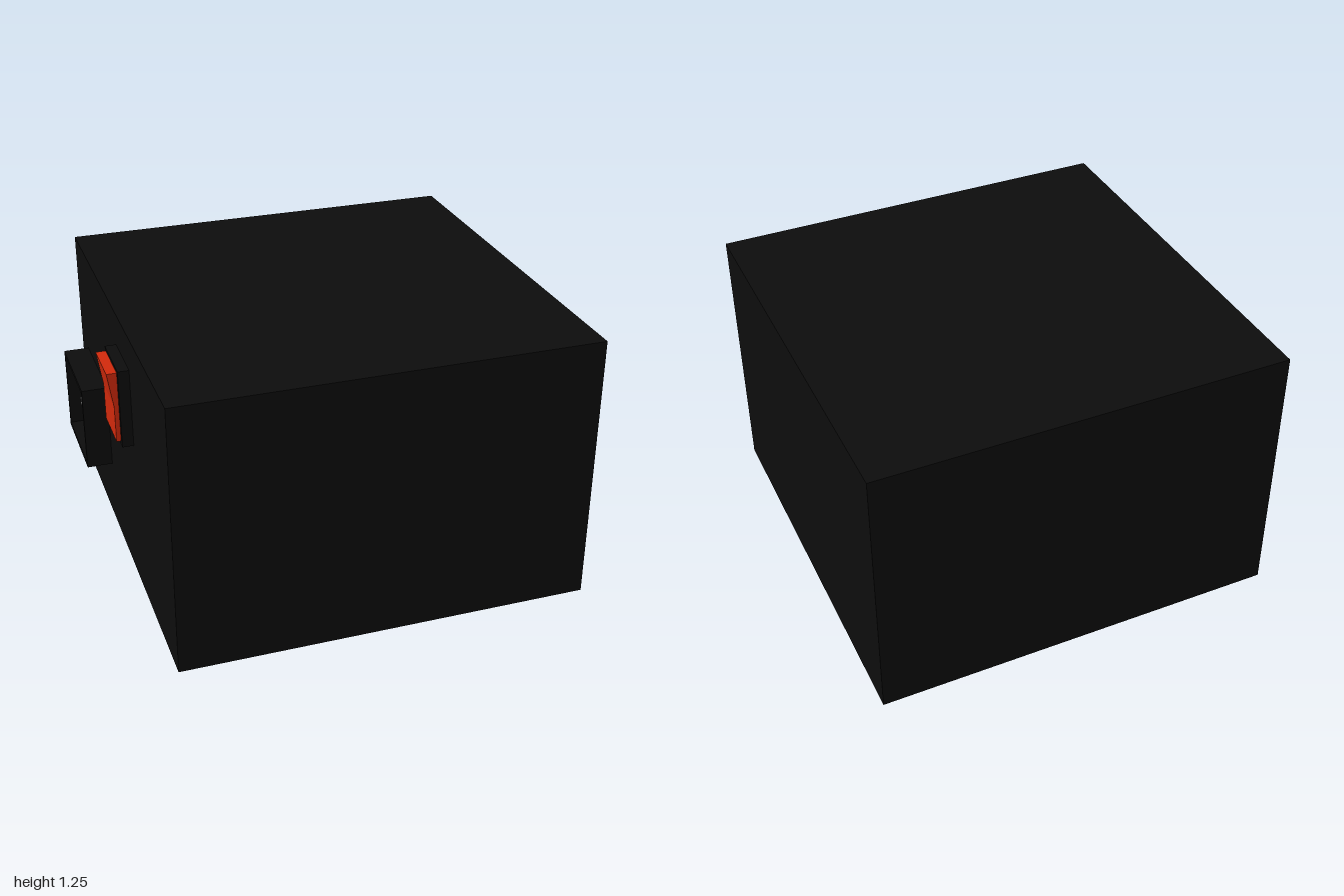
import * as THREE from 'three';

const paint = (color) => new THREE.MeshStandardMaterial({ color });

export function createModel() {
  const model = new THREE.Group();
  const black = paint(0x0d0d0d), red = paint(0xd42a0c), metal = paint(0xaaaaaa);

  // Box given by its lower and upper corners
  function box(name, [x0, y0, z0], [x1, y1, z1], material, parent = model) {
    const mesh = new THREE.Mesh(new THREE.BoxGeometry(x1 - x0, y1 - y0, z1 - z0), material);
    mesh.position.set((x0 + x1) / 2, (y0 + y1) / 2, (z0 + z1) / 2);
    mesh.name = name;
    parent.add(mesh);
  }

  // Main housing
  box('housing', [-0.88, 0, -0.94], [1, 1.25, 0.94], black);

  // Power socket: open frame around three contact pins
  const socket = new THREE.Group();
  socket.name = 'powerSocket';
  model.add(socket);
  const y0 = 0.31, y1 = 0.72, z0 = -0.79, z1 = -0.33, wall = 0.02;
  const rect = (path, m) => path.moveTo(z0 + m, y0 + m).lineTo(z1 - m, y0 + m)
    .lineTo(z1 - m, y1 - m).lineTo(z0 + m, y1 - m).closePath();
  const outline = rect(new THREE.Shape(), 0);
  outline.holes.push(rect(new THREE.Path(), wall));
  const frameGeometry = new THREE.ExtrudeGeometry(outline, { depth: 0.12, bevelEnabled: false });
  frameGeometry.rotateY(-Math.PI / 2); // shape x becomes z, depth runs towards -x
  const frame = new THREE.Mesh(frameGeometry, black);
  frame.position.x = -0.88;
  frame.name = 'socketFrame';
  socket.add(frame);
  for (const [y, z] of [[0.535, -0.56], [0.475, -0.7], [0.475, -0.42]]) {
    box('contactPin', [-0.95, y - 0.018, z - 0.016], [-0.87, y + 0.018, z + 0.016], metal, socket);
  }

  // Rocker switch: base plate and tilted rocker
  box('switchBase', [-0.93, 0.725, -0.01], [-0.87, 1.09, 0.26], black);
  const profile = new THREE.Shape([
    [-0.92, 0.745], [-0.92, 1.075], [-0.975, 1.075], [-0.95, 0.915], [-0.95, 0.745],
  ].map(([x, y]) => new THREE.Vector2(x, y)));
  const rocker = new THREE.Mesh(
    new THREE.ExtrudeGeometry(profile, { depth: 0.23, bevelEnabled: false }), red);
  rocker.position.z = 0.008;
  rocker.name = 'switchRocker';
  model.add(rocker);

  return model;
}
